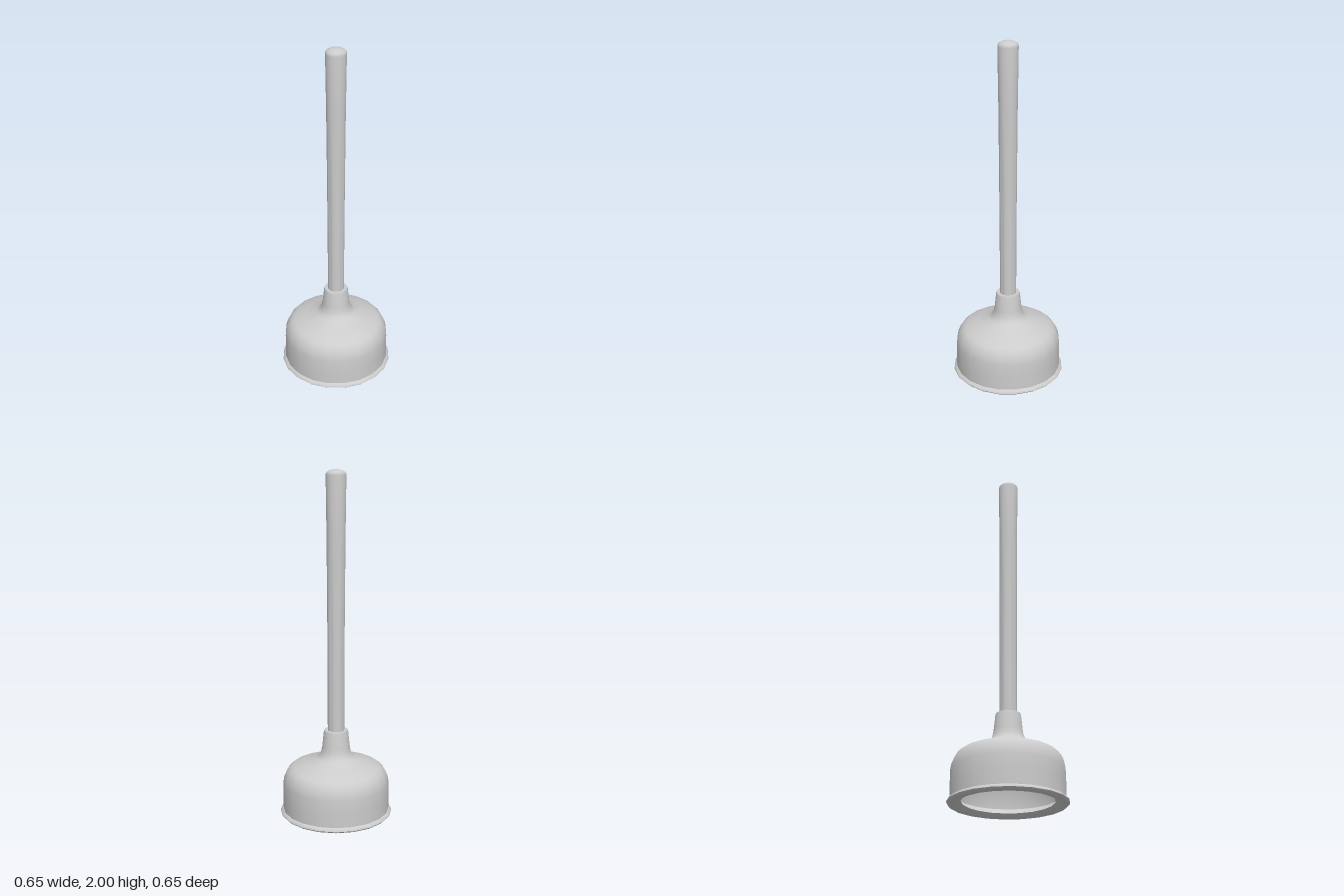
import * as THREE from 'three';
import { toCreasedNormals } from 'three/addons/utils/BufferGeometryUtils.js';

// Turn a profile of [radius, height] points around the y axis
function turned(name, profile, sides) {
  const points = profile.map(([r, y]) => new THREE.Vector2(r, y));
  const geometry = toCreasedNormals(new THREE.LatheGeometry(points, sides), 0.75);
  const mesh = new THREE.Mesh(geometry, new THREE.MeshStandardMaterial({ color: 0xcccccc }));
  mesh.name = name;
  return mesh;
}

export function createModel() {
  const group = new THREE.Group();
  group.name = 'plunger';

  // Rubber cup: rim, outer wall, shoulder and collar, then back down the hollow inside
  const cup = [
    [0.25, 0.02], [0.27, 0.005], [0.3, 0], [0.318, 0.003], [0.327, 0.012], [0.325, 0.02],
    [0.31, 0.03], [0.31, 0.11], [0.309, 0.19], [0.304, 0.22], [0.29, 0.255], [0.272, 0.277], [0.25, 0.291],
    [0.18, 0.317], [0.115, 0.341], [0.098, 0.355], [0.086, 0.38], [0.08, 0.41],
    [0.071, 0.497], [0.068, 0.508], [0.045, 0.508],
  ];
  const hollow = [
    [0, 0.3], [0.1, 0.297], [0.2, 0.265], [0.255, 0.235], [0.28, 0.19], [0.28, 0.05], [0.25, 0.02],
  ].reverse();
  group.add(turned('cup', cup, 20));
  group.add(turned('cupInside', hollow.slice(), 20));
  // The inside runs from the lip up to the ceiling, so its faces are turned inwards
  const inside = group.getObjectByName('cupInside');
  inside.geometry = toCreasedNormals(
    new THREE.LatheGeometry(hollow.map(([r, y]) => new THREE.Vector2(r, y)).reverse(), 20), 0.75);

  // Tapered wooden handle with a shallow domed end
  group.add(turned('handle', [
    [0, 0.35], [0.048, 0.35], [0.048, 0.8], [0.05, 1.23], [0.053, 1.65], [0.057, 1.968],
    [0.056, 1.977], [0.05, 1.985], [0.036, 1.993], [0.018, 1.998], [0, 2],
  ], 32));

  return group;
}
